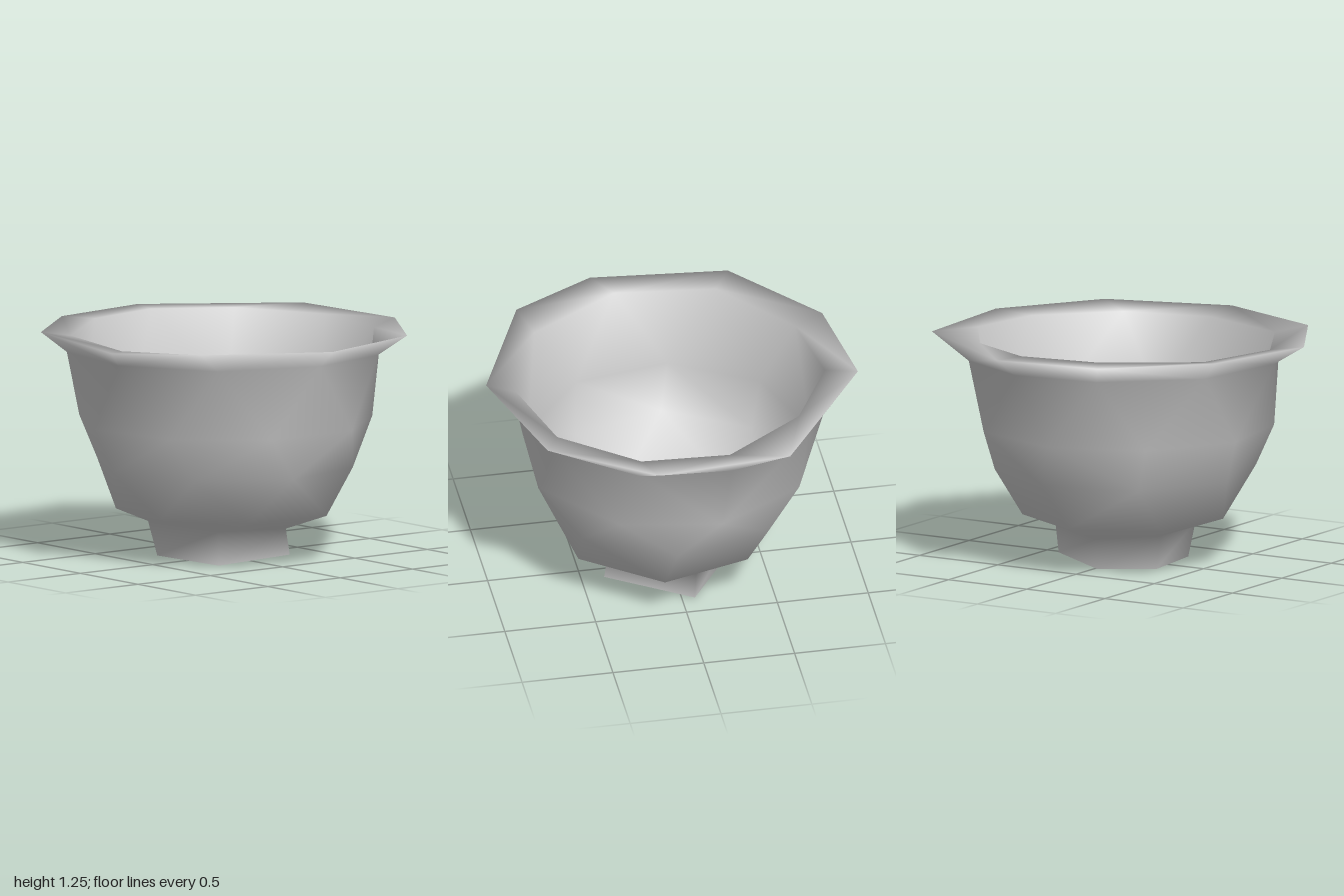
import * as THREE from 'three';

const DEG = Math.PI / 180;

// A ring is a list of corners { a: angle in degrees, r, y }, sorted by angle.
function ring(angles, r, y) {
  return angles.map((a, i) => ({
    a,
    r: Array.isArray(r) ? r[i] : r,
    y: Array.isArray(y) ? y[i] : y,
  }));
}

function evenRing(sides, start, r, y) {
  return ring(Array.from({ length: sides }, (_, i) => start + (i * 360) / sides), r, y);
}

// Skins a stack of rings whose corner counts may differ.
function skin(rings) {
  const positions = [], index = [], starts = [];
  for (const r of rings) {
    starts.push(positions.length / 3);
    for (const p of r) positions.push(p.r * Math.cos(p.a * DEG), p.y, p.r * Math.sin(p.a * DEG));
  }
  const angle = (r, i) => r[i % r.length].a + 360 * Math.floor(i / r.length);
  for (let k = 0; k + 1 < rings.length; k++) {
    const A = rings[k], B = rings[k + 1];
    const endA = A.length > 1 ? A.length : 0, endB = B.length > 1 ? B.length : 0;
    const va = (i) => starts[k] + (i % A.length);
    const vb = (j) => starts[k + 1] + (j % B.length);
    let i = 0, j = 0;
    while (i < endA || j < endB) {
      const stepA = j >= endB ||
        (i < endA && angle(A, i) + angle(A, i + 1) <= angle(B, j) + angle(B, j + 1));
      if (stepA) {
        index.push(va(i), vb(j), va(i + 1));
        i++;
      } else {
        index.push(va(i), vb(j), vb(j + 1));
        j++;
      }
    }
  }
  const geometry = new THREE.BufferGeometry();
  geometry.setAttribute('position', new THREE.Float32BufferAttribute(positions, 3));
  geometry.setIndex(index);
  geometry.computeVertexNormals();
  return geometry;
}

export function createModel() {
  const group = new THREE.Group();
  const material = new THREE.MeshStandardMaterial({ color: 0xcccccc, side: THREE.DoubleSide });
  const add = (name, rings) => {
    const mesh = new THREE.Mesh(skin(rings), material);
    mesh.name = name;
    group.add(mesh);
  };

  // Uneven corners of the foot, the neck and the flared rim
  const footAngles = [70, 134, 211, 262, 350];
  const neckAngles = [21, 57, 91, 131, 170, 208, 248, 280, 312, 348];
  const neckRadii = [0.88, 0.87, 0.85, 0.87, 0.87, 0.87, 0.87, 0.885, 0.88, 0.88];
  const innerRadii = [0.845, 0.84, 0.84, 0.845, 0.845, 0.85, 0.81, 0.84, 0.82, 0.85];
  const rimAngles = [13.8, 51.4, 92.9, 135.8, 165.7, 209, 246.5, 280.8, 332.2];
  const rimRadii = [1.01, 1.01, 1.0, 1.01, 1.015, 1.01, 1.0, 1.02, 1.05];
  const rimHeights = [1.24, 1.24, 1.24, 1.25, 1.23, 1.25, 1.24, 1.24, 1.24];
  const footRadii = [0.41, 0.35, 0.37, 0.365, 0.39];
  const footBottom = ring(footAngles, footRadii, [0.04, 0, 0.01, 0.01, 0.01]);

  // Hollowed underside of the foot
  add('footBase', [
    ring([0], 0, 0.1),
    ring(footAngles, footRadii.map((r) => r * 0.5), 0.07),
    footBottom,
  ]);

  // Thin wall: up the foot and the outside, over the level rim, then down the inside
  add('bowl', [
    footBottom,
    ring(footAngles, [0.385, 0.39, 0.42, 0.39, 0.41], [0.18, 0.19, 0.2, 0.18, 0.18]),
    evenRing(7, 13, [0.59, 0.61, 0.59, 0.56, 0.59, 0.575, 0.56], 0.26),
    evenRing(8, 7, 0.71, 0.51),
    evenRing(9, 30, 0.805, 0.75),
    ring(neckAngles, neckRadii, 1.14),
    ring(rimAngles, rimRadii, rimHeights),
    ring(neckAngles, innerRadii, neckAngles.map((a) => 1.22 - 0.02 * Math.sin(a * DEG))),
    evenRing(9, 30, 0.775, 0.77),
    evenRing(8, 7, 0.675, 0.53),
    evenRing(7, 13, 0.49, 0.33),
    evenRing(6, 0, 0.25, 0.25),
    ring([0], 0, 0.23),
  ]);

  return group;
}
